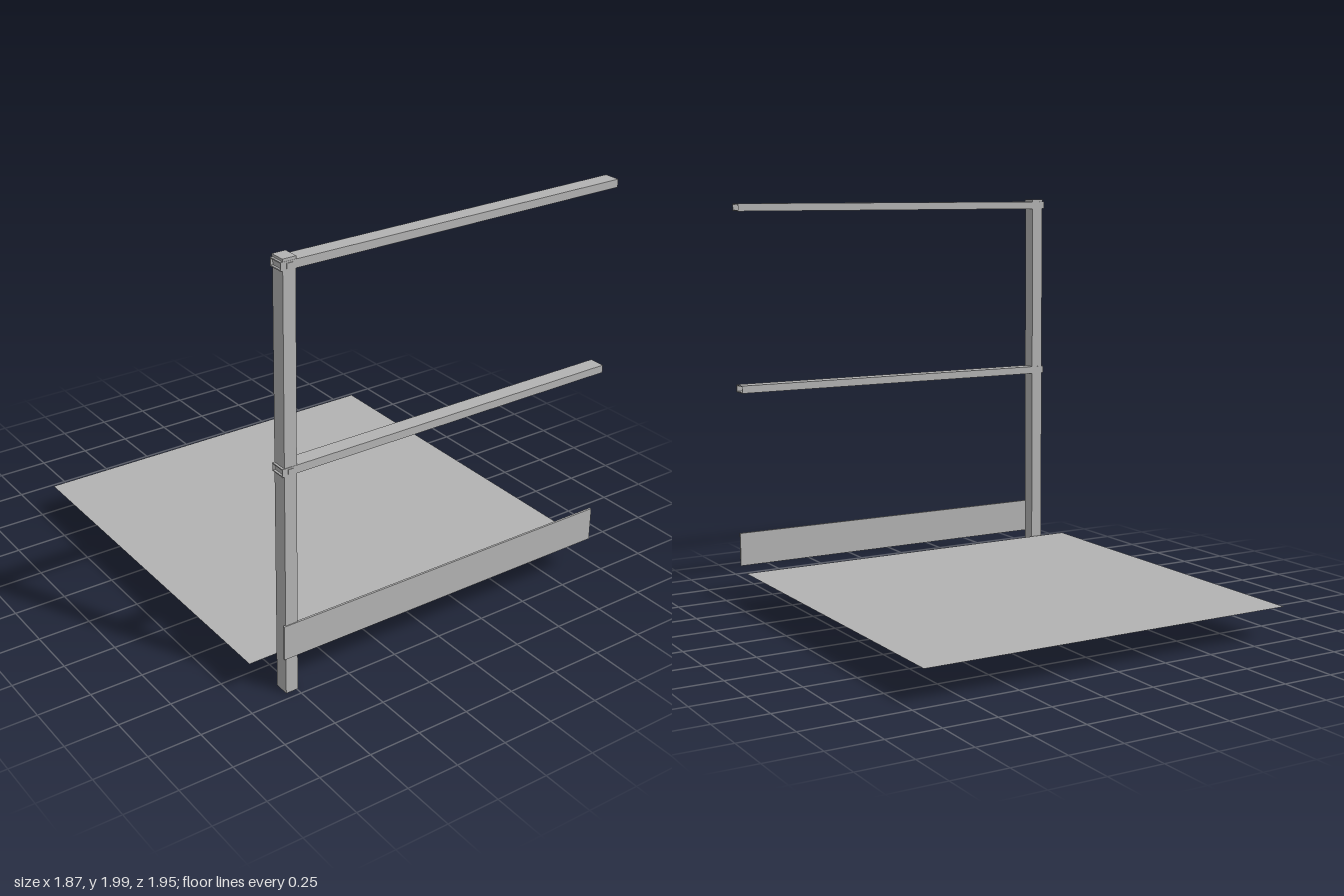
import * as THREE from 'three';

const steel = new THREE.MeshStandardMaterial({ color: 0xb3b3b3, side: THREE.DoubleSide });
steel.name = 'grey steel';

// Open-ended rectangular tube running along +z from the origin
function tubeGeometry(w, h, length, wall) {
  const rect = (Type, a, b) => {
    const p = new Type();
    p.moveTo(-a, -b);
    p.lineTo(a, -b);
    p.lineTo(a, b);
    p.lineTo(-a, b);
    p.closePath();
    return p;
  };
  const shape = rect(THREE.Shape, w / 2, h / 2);
  shape.holes.push(rect(THREE.Path, w / 2 - wall, h / 2 - wall));
  return new THREE.ExtrudeGeometry(shape, { depth: length, bevelEnabled: false });
}

export function createModel() {
  const group = new THREE.Group();
  const add = (name, geometry, x, y, z) => {
    const mesh = new THREE.Mesh(geometry, steel);
    mesh.name = name;
    mesh.position.set(x, y, z);
    group.add(mesh);
    return mesh;
  };

  const postX = -0.775, frameZ = 0.93;
  const left = -0.815, right = 0.932, span = right - left;

  // Floor sheet
  const floor = new THREE.PlaneGeometry(1.87, 1.862).rotateX(-Math.PI / 2);
  add('floor', floor, 0, 0.155, -0.049);

  // Hollow upright with a closed top
  const post = tubeGeometry(0.06, 0.072, 1.985, 0.005).rotateX(-Math.PI / 2);
  add('post', post, postX, 0, frameZ);
  add('postCap', new THREE.BoxGeometry(0.064, 0.008, 0.074), postX, 1.989, frameZ);

  // Hollow handrail and middle rail, each with a bolt through the post
  for (const [name, y] of [['topRail', 1.962], ['middleRail', 1.075]]) {
    const rail = tubeGeometry(0.075, 0.037, span, 0.005).rotateY(Math.PI / 2);
    add(name, rail, left, y, frameZ);
    add(name + 'Bolt', new THREE.BoxGeometry(0.028, 0.022, 0.004), postX, y, frameZ + 0.038);
  }

  // Toe board across the front of the post
  add('toeBoard', new THREE.BoxGeometry(span, 0.166, 0.01), (left + right) / 2, 0.261, 0.965);

  return group;
}
